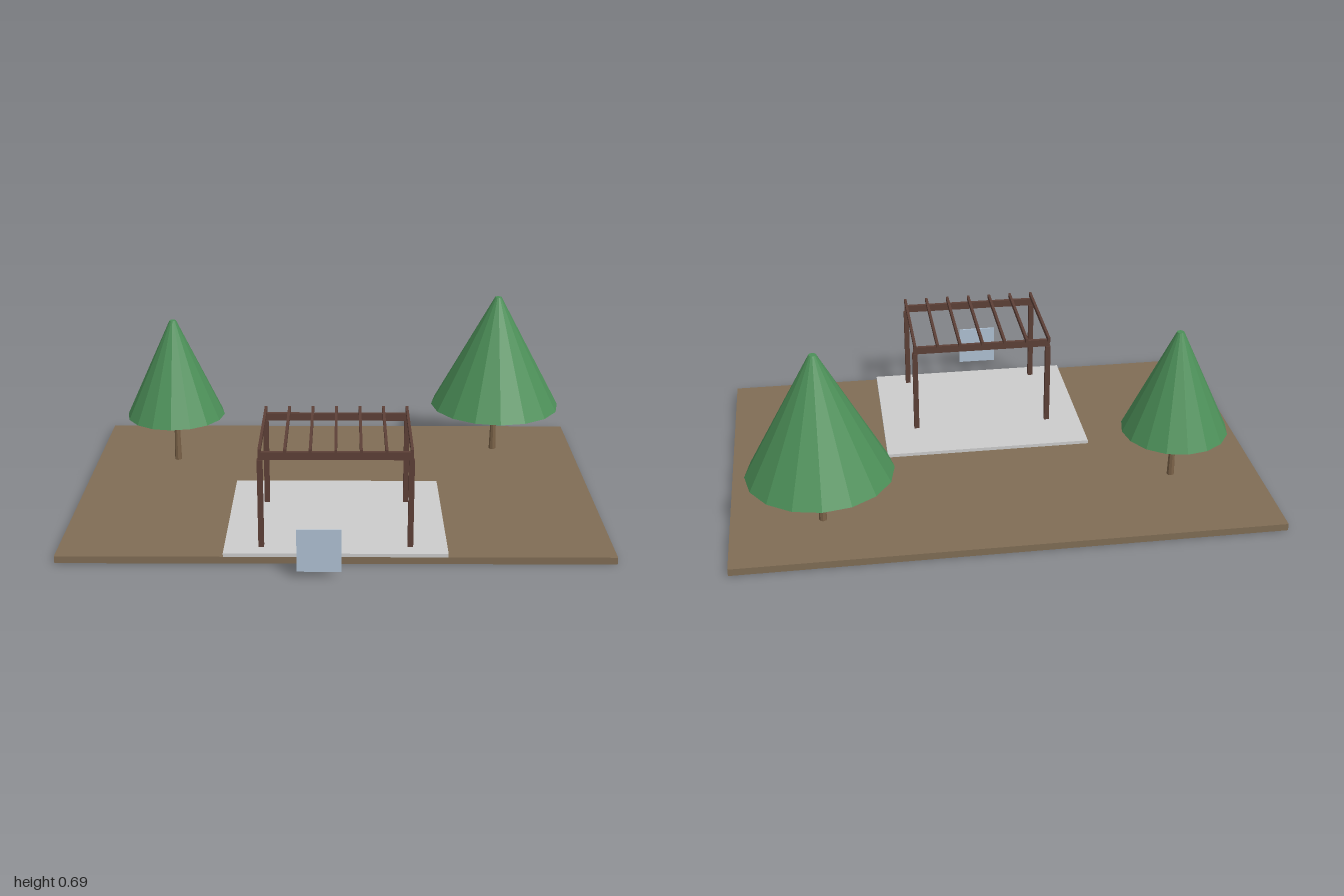
import * as THREE from 'three';

const material = (name, color, flatShading = false) => {
  const m = new THREE.MeshStandardMaterial({ color, flatShading });
  m.name = name;
  return m;
};

export function createModel() {
  const soil = material('soil brown', 0x806d55);
  const paving = material('paving grey', 0xcccccc);
  const timber = material('dark timber', 0x5d4037);
  const bark = material('bark brown', 0x7a6248, true);
  const leaf = material('leaf green', 0x4c8f58, true);
  const glass = material('pale blue', 0xafc1d3);

  const model = new THREE.Group();
  model.name = 'garden';

  const add = (parent, name, geometry, mat, x, y, z) => {
    const mesh = new THREE.Mesh(geometry, mat);
    mesh.name = name;
    mesh.position.set(x, y, z);
    parent.add(mesh);
    return mesh;
  };
  // Box placed by the centre of its underside
  const box = (parent, name, mat, w, h, d, x, y, z) =>
    add(parent, name, new THREE.BoxGeometry(w, h, d), mat, x, y + h / 2, z);

  // Ground and patio
  box(model, 'ground', soil, 2, 0.0267, 1.333, 0, 0, -0.06);
  box(model, 'patio', paving, 0.8, 0.0133, 0.667, 0, 0.0267, 0.2735);

  // Pergola: four posts, two beams, seven rafters
  const pergola = new THREE.Group();
  pergola.name = 'pergola';
  model.add(pergola);
  const midZ = 0.342;
  for (const side of [-1, 1]) {
    const z = midZ + side * 0.2;
    for (const x of [-0.267, 0.267]) {
      box(pergola, 'post', timber, 0.02, 0.3333, 0.02, x, 0.04, z);
    }
    box(pergola, 'beam', timber, 0.547, 0.0287, 0.0133, 0, 0.3733, z);
  }
  for (let i = 0; i < 7; i++) {
    box(pergola, 'rafter', timber, 0.01, 0.018, 0.453, -0.267 + i * 0.089, 0.402, midZ);
  }

  // Upright panel in front of the patio
  box(model, 'panel', glass, 0.155, 0.158, 0.0067, -0.057, 0.029, 0.7235);

  // Conical trees
  const tree = (name, x, z, radius, top) => {
    const group = new THREE.Group();
    group.name = name;
    group.position.set(x, 0, z);
    model.add(group);
    const base = 0.228, foot = 0.0267;
    add(group, 'trunk', new THREE.CylinderGeometry(0.01, 0.0145, base - foot, 8), bark,
      0, (base + foot) / 2, 0);
    add(group, 'crown', new THREE.CylinderGeometry(0.0133, radius, top - base, 16), leaf,
      0, (base + top) / 2, 0);
  };
  tree('rightTree', -0.667, -0.328, 0.2, 0.63);
  tree('leftTree', 0.665, -0.46, 0.267, 0.695);

  return model;
}
